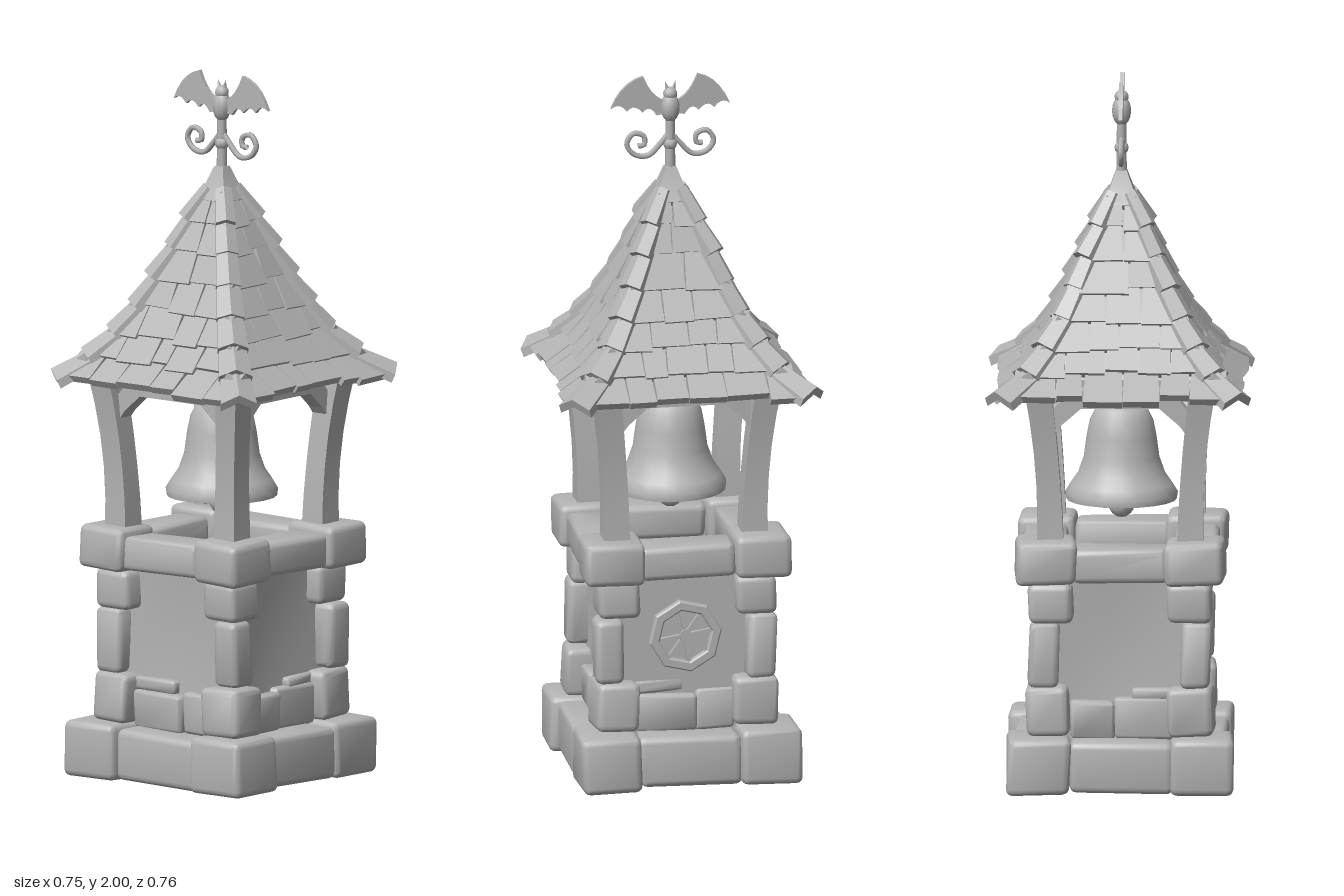
import * as THREE from 'three';
import { toCreasedNormals } from 'three/addons/utils/BufferGeometryUtils.js';
import { RoundedBoxGeometry } from 'three/addons/geometries/RoundedBoxGeometry.js';

export function createModel() {
  const model = new THREE.Group();
  model.name = 'bellTower';
  const stone = new THREE.MeshStandardMaterial({ color: 0xb4b4b4, side: THREE.DoubleSide });
  stone.name = 'plain grey';

  let seed = 7;
  const rnd = (a = -1, b = 1) => {
    seed = (seed * 16807) % 2147483647;
    return a + (b - a) * (seed / 2147483647);
  };
  const add = (parent, name, geo, x = 0, y = 0, z = 0) => {
    const m = new THREE.Mesh(geo, stone);
    m.name = name;
    m.position.set(x, y, z);
    parent.add(m);
    return m;
  };
  const group = (name, parent = model) => {
    const g = new THREE.Group();
    g.name = name;
    parent.add(g);
    return g;
  };
  // Moves every vertex of a geometry by a rule, then renews its normals
  const warp = (geo, rule, crease = 0.6) => {
    const p = geo.attributes.position, v = new THREE.Vector3();
    for (let i = 0; i < p.count; i++) {
      rule(v.fromBufferAttribute(p, i));
      p.setXYZ(i, v.x, v.y, v.z);
    }
    return toCreasedNormals(geo, crease);
  };
  // Worn block of masonry given by its limits
  const block = (parent, name, x0, x1, y0, y1, z0, z1, r = 0.02) => {
    const s = rnd(0, 6), a = 0.005;
    const geo = warp(new RoundedBoxGeometry(x1 - x0, y1 - y0, z1 - z0, 2, r), v => {
      const { x, y, z } = v;
      v.x += a * Math.sin(9 * y + 14 * z + s);
      v.y += a * 0.7 * Math.sin(11 * x + 9 * z + 2 * s);
      v.z += a * Math.sin(10 * y + 13 * x + 3 * s);
    }, 0.7);
    return add(parent, name, geo, (x0 + x1) / 2, (y0 + y1) / 2, (z0 + z1) / 2);
  };

  // Masonry and timber repeated on each of the four sides
  const rows = [ // bottom, top, outer half width, corner stone size
    [0.005, 0.165, 0.313, 0.178], [0.165, 0.305, 0.262, 0.125], [0.305, 0.492, 0.258, 0.085],
    [0.49, 0.603, 0.254, 0.12], [0.6, 0.722, 0.29, 0.165],
  ];
  for (let k = 0; k < 4; k++) {
    const side = group('towerSide');
    side.rotation.y = k * Math.PI / 2;
    for (const [y0, y1, r, s] of rows) {
      const e = rnd() * 0.006, f = rnd() * 0.006;
      block(side, 'cornerStone', r - s + e, r + f * 0.5, y0, y1, r - s + f, r + e * 0.5, 0.02);
    }
    block(side, 'baseStone', -0.145, 0.145, 0.01, 0.155, 0.165, 0.298, 0.02);
    block(side, 'topStone', -0.135, 0.135, 0.607, 0.703, 0.15, 0.275, 0.018);
    const split = k % 2 ? 0.03 : -0.02;
    block(side, 'lowerStone', -0.145, split, 0.155, 0.262, 0.17, 0.226, 0.012);
    block(side, 'lowerStone', split, 0.145, 0.155, 0.272, 0.17, 0.222, 0.012);
    block(side, 'thinStone', k % 2 ? -0.15 : 0.03, k % 2 ? 0.0 : 0.16, 0.262, 0.3, 0.17, 0.212, 0.01);
    // Plaster panel, bowed inward where it carries no window
    const bow = k === 1 ? 0 : 0.018;
    add(side, 'wallPanel', warp(new THREE.BoxGeometry(0.4, 0.5, 0.025, 6, 6, 1), v => {
      v.z -= bow * Math.cos(v.x * 7.8) * Math.cos(v.y * 5.5);
    }, 1), 0, 0.4, 0.193);

    // Corner post, leaning outward as it rises
    add(side, 'post', warp(new THREE.BoxGeometry(0.074, 0.45, 0.074, 1, 5, 1), v => {
      const t = v.y / 0.45 + 0.5, w = 1 - 0.1 * Math.sin(t * Math.PI);
      v.x = v.x * w + 0.035 * t * t;
      v.z = v.z * w + 0.035 * t * t;
    }), 0.196, 0.93, 0.196);
    // Arched brace between two posts
    const arch = new THREE.Shape([
      [-0.21, 0.99], [-0.165, 1.05], [-0.11, 1.098], [0.11, 1.098], [0.165, 1.05], [0.21, 0.99],
      [0.22, 1.06], [0.17, 1.115], [0.13, 1.15], [-0.13, 1.15], [-0.17, 1.115], [-0.22, 1.06],
    ].map(p => new THREE.Vector2(...p)));
    add(side, 'archBrace', new THREE.ExtrudeGeometry(arch, { depth: 0.05, bevelEnabled: false }), 0, 0, 0.18);
  }

  // Wheel window on the left wall
  const windowGroup = group('wheelWindow');
  windowGroup.position.set(0.204, 0.428, 0);
  windowGroup.rotation.y = Math.PI / 2;
  const octagon = (r, Path) => new Path(Array.from({ length: 8 }, (_, i) =>
    new THREE.Vector2(r * Math.cos((i + 0.2) * Math.PI / 4), r * Math.sin((i + 0.2) * Math.PI / 4))));
  const frame = octagon(0.1, THREE.Shape);
  frame.holes.push(octagon(0.08, THREE.Path));
  add(windowGroup, 'windowFrame', new THREE.ExtrudeGeometry(frame,
    { depth: 0.02, bevelSize: 0.004, bevelThickness: 0.004, bevelSegments: 1 }));
  for (let i = 0; i < 8; i++) {
    const a = (i + 0.2) * Math.PI / 4;
    const spoke = add(windowGroup, 'spoke', new THREE.BoxGeometry(0.075, 0.011, 0.014),
      Math.cos(a) * 0.042, Math.sin(a) * 0.042, 0.007);
    spoke.rotation.z = a;
  }
  const hub = add(windowGroup, 'hub', new THREE.CylinderGeometry(0.018, 0.018, 0.022, 8), 0, 0, 0.008);
  hub.rotation.x = Math.PI / 2;

  // Bell, clapper and hanging beam
  const bell = group('bell');
  const profile = [[0.0, 1.078], [0.045, 1.074], [0.074, 1.056], [0.089, 1.025], [0.098, 0.98], [0.106, 0.92],
    [0.122, 0.875], [0.143, 0.845], [0.158, 0.82], [0.155, 0.8], [0.135, 0.796], [0.105, 0.86], [0.085, 1.0], [0, 1.055]];
  add(bell, 'bellBody', toCreasedNormals(new THREE.LatheGeometry(
    profile.map(p => new THREE.Vector2(...p)).reverse(), 20), 0.9));
  add(bell, 'clapperRod', new THREE.CylinderGeometry(0.01, 0.01, 0.28, 8), 0, 0.92, 0);
  add(bell, 'clapper', new THREE.SphereGeometry(0.036, 12, 8), 0, 0.782, 0);
  add(bell, 'hanger', new THREE.CylinderGeometry(0.016, 0.016, 0.06, 8), 0, 1.1, 0);
  add(bell, 'bellBeam', new THREE.BoxGeometry(0.42, 0.04, 0.05), 0, 1.135, 0);

  // Roof shell and its overlapping tiles
  const roof = group('roof');
  const curve = [[0.335, 1.132], [0.265, 1.192], [0.215, 1.258], [0.172, 1.332], [0.134, 1.412],
    [0.1, 1.495], [0.067, 1.575], [0.036, 1.65]];
  const shell = new THREE.LatheGeometry(curve.slice(1).map(([r, y]) =>
    new THREE.Vector2(r * Math.SQRT2, y - 0.005)), 4, Math.PI / 4);
  add(roof, 'roofShell', toCreasedNormals(shell, 0.4));
  // A slab laid along the slope from (rb, yb) up to (rt, yt), with its top tucked under the next row
  const slab = (parent, name, u, w, rb, yb, rt, yt, thick, fold) => {
    const len = Math.hypot(rt - rb, yt - yb) * 1.2;
    const geo = warp(new THREE.BoxGeometry(w, len, thick, 2, 1, 1), v => {
      v.x *= 1 - 0.22 * (v.y / len) * (fold ? 1 : 0.3);
      v.z -= Math.abs(v.x) * fold;
    }, 0.3);
    geo.translate(0, len / 2, thick / 2);
    const m = add(parent, name, geo, u, yb, rb);
    m.rotation.x = Math.atan2(rt - rb, yt - yb) - 0.1;
    m.rotation.z = fold ? 0 : rnd() * 0.03;
  };
  for (let k = 0; k < 4; k++) {
    const side = group('roofSide', roof);
    side.rotation.y = k * Math.PI / 2;
    const hip = group('hipRidge', roof);
    hip.rotation.y = (k + 0.5) * Math.PI / 2;
    for (let i = 0; i < curve.length - 1; i++) {
      const [rb, yb] = curve[i], [rt, yt] = curve[i + 1];
      const half = (rb + rt) / 2, n = Math.max(2, Math.round(half * 2 / 0.1));
      const cuts = Array.from({ length: n + 1 }, (_, j) =>
        -half + 2 * half * (j + (j > 0 && j < n ? rnd() * 0.22 : 0)) / n);
      for (let j = 0; j < n; j++) {
        const drop = rnd() * 0.01;
        slab(side, 'roofTile', (cuts[j] + cuts[j + 1]) / 2, cuts[j + 1] - cuts[j] - 0.005,
          rb + drop, yb - drop, rt, yt, 0.023, 0);
      }
      const q = Math.SQRT2, tip = rnd() * 0.008;
      slab(hip, 'hipTile', 0, 0.092 - i * 0.007, rb * q + tip + 0.004, yb + 0.012,
        rt * q, yt + 0.012, 0.026, 0.55);
    }
  }
  const cap = add(roof, 'roofCap', toCreasedNormals(new THREE.LatheGeometry(
    [[0.065, 1.63], [0.08, 1.645], [0.045, 1.69], [0.022, 1.735], [0, 1.74]].map(p => new THREE.Vector2(...p)), 4), 0.4));
  cap.rotation.y = Math.PI / 4;

  // Weathervane: rod, scrolls and winged creature
  const vane = group('weathervane');
  add(vane, 'rod', new THREE.CylinderGeometry(0.013, 0.015, 0.17, 8), 0, 1.805, 0);
  add(vane, 'rodCollar', new THREE.SphereGeometry(0.02, 8, 6), 0, 1.8, 0);
  const body = add(vane, 'batBody', new THREE.SphereGeometry(0.027, 10, 8), 0, 1.905, 0);
  body.scale.y = 1.6;
  add(vane, 'batHead', new THREE.SphereGeometry(0.02, 10, 8), 0, 1.945, 0);
  const wing = new THREE.Shape();
  wing.moveTo(0.01, 1.925);
  wing.quadraticCurveTo(0.05, 1.93, 0.078, 2.0);
  wing.quadraticCurveTo(0.14, 1.985, 0.17, 1.91);
  wing.quadraticCurveTo(0.145, 1.93, 0.125, 1.9);
  wing.quadraticCurveTo(0.105, 1.925, 0.08, 1.895);
  wing.quadraticCurveTo(0.06, 1.92, 0.04, 1.885);
  wing.lineTo(0.01, 1.89);
  const scroll = new THREE.CatmullRomCurve3([[0, 1.835], [0.025, 1.805], [0.065, 1.768], [0.105, 1.775],
    [0.124, 1.805], [0.105, 1.834], [0.075, 1.825], [0.075, 1.8], [0.092, 1.798]].map(([x, y]) => new THREE.Vector3(x, y, 0)));
  for (const s of [-1, 1]) {
    const half = group('vaneSide', vane);
    half.rotation.y = s * Math.PI / 2;
    add(half, 'wing', new THREE.ExtrudeGeometry(wing, { depth: 0.012, bevelEnabled: false, curveSegments: 5 }), 0, 0, -0.006);
    add(half, 'scroll', new THREE.TubeGeometry(scroll, 32, 0.008, 6));
    const ear = add(half, 'ear', new THREE.ConeGeometry(0.008, 0.028, 5), 0.011, 1.968, 0);
    ear.rotation.z = -0.25;
  }

  for (const child of model.children) child.position.add(new THREE.Vector3(-0.013, 0, -0.008));
  return model;
}
